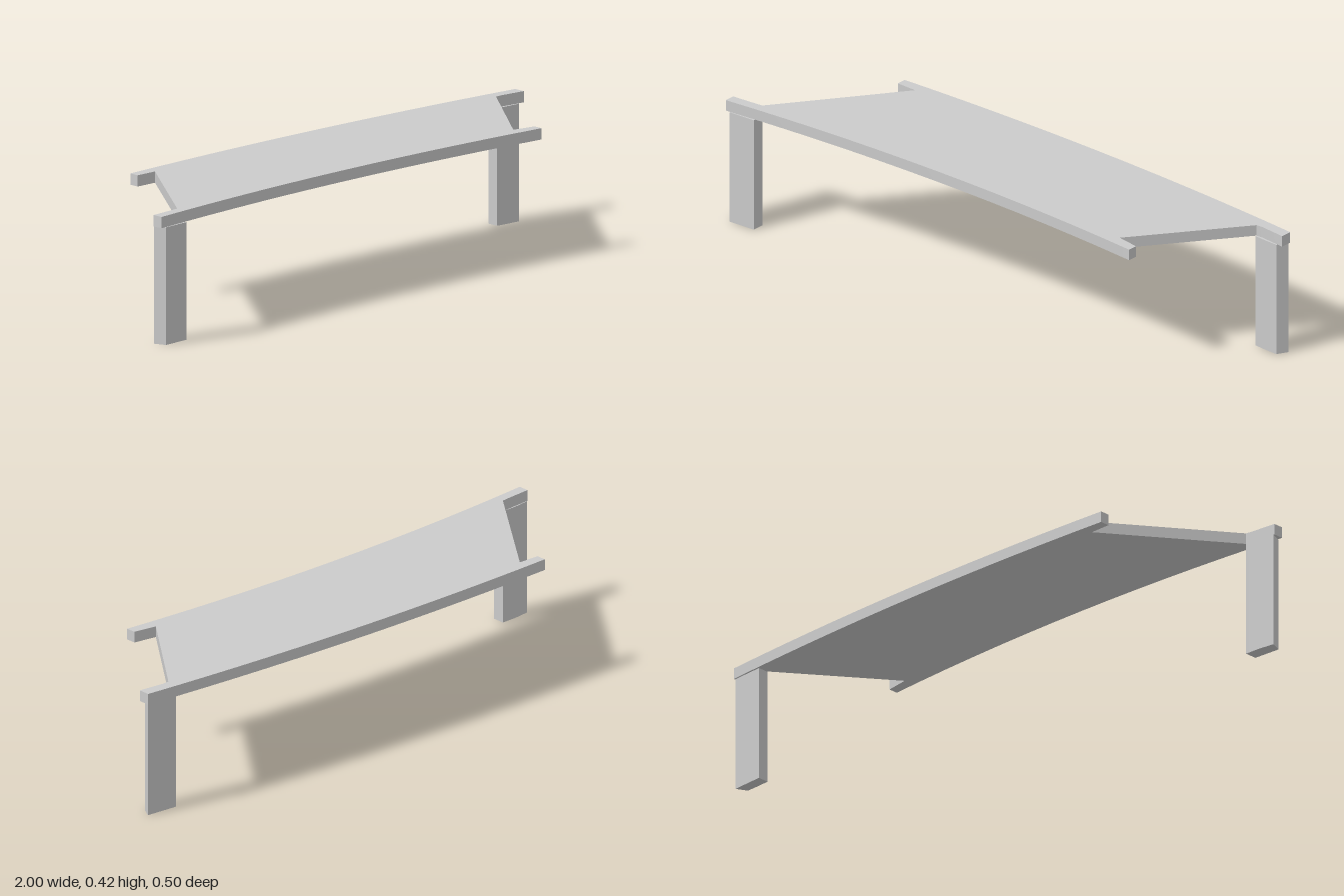
import * as THREE from 'three';
import { toCreasedNormals } from 'three/addons/utils/BufferGeometryUtils.js';

const LEG_TOP = 0.386, DECK_TOP = 0.423;

// Extrude a plan outline of [x, z] points upward from y0 to y1.
function prism(name, outline, y0, y1) {
  const shape = new THREE.Shape(outline.map(([x, z]) => new THREE.Vector2(x, -z)));
  let geo = new THREE.ExtrudeGeometry(shape, { depth: y1 - y0, bevelEnabled: false });
  geo.rotateX(-Math.PI / 2).translate(0, y0, 0);
  geo = toCreasedNormals(geo, 0.35);
  const mesh = new THREE.Mesh(geo, new THREE.MeshStandardMaterial({ color: 0xcccccc }));
  mesh.name = name;
  return mesh;
}

// Points along a shallow parabola z = z0 + k (x - xc)^2.
function bow(x0, x1, xc, z0, k, n = 14) {
  return Array.from({ length: n + 1 }, (_, i) => {
    const x = x0 + (x1 - x0) * i / n;
    return [x, z0 + k * (x - xc) ** 2];
  });
}

export function createModel() {
  const group = new THREE.Group();
  group.name = 'bowedBench';

  // Skewed deck: bowed long edges, slanted ends and four narrow corner tabs
  const deck = [
    ...bow(-1, 0.695, -0.15, 0.205, 0.057),
    [0.695, 0.212], [0.615, 0.198],
    [0.885, -0.157], [0.91, -0.158], [1, -0.148],
    ...bow(1, -0.665, -0.2, -0.248, 0.042),
    [-0.665, -0.205], [-0.59, -0.203],
    [-0.885, 0.2], [-0.91, 0.203], [-1, 0.21],
  ];
  group.add(prism('deck', deck, LEG_TOP, DECK_TOP));

  // Slab legs at two opposite corners, each with a slanted outer face
  const frontLeg = [[-0.997, 0.208], [-0.982, 0.248], [-0.885, 0.243], [-0.885, 0.2], [-0.94, 0.201]];
  const backLeg = [[0.885, -0.152], [0.93, -0.148], [0.977, -0.146], [0.997, -0.183], [0.885, -0.192]];
  group.add(prism('frontLeg', frontLeg, 0, LEG_TOP));
  group.add(prism('backLeg', backLeg, 0, LEG_TOP));
  return group;
}
